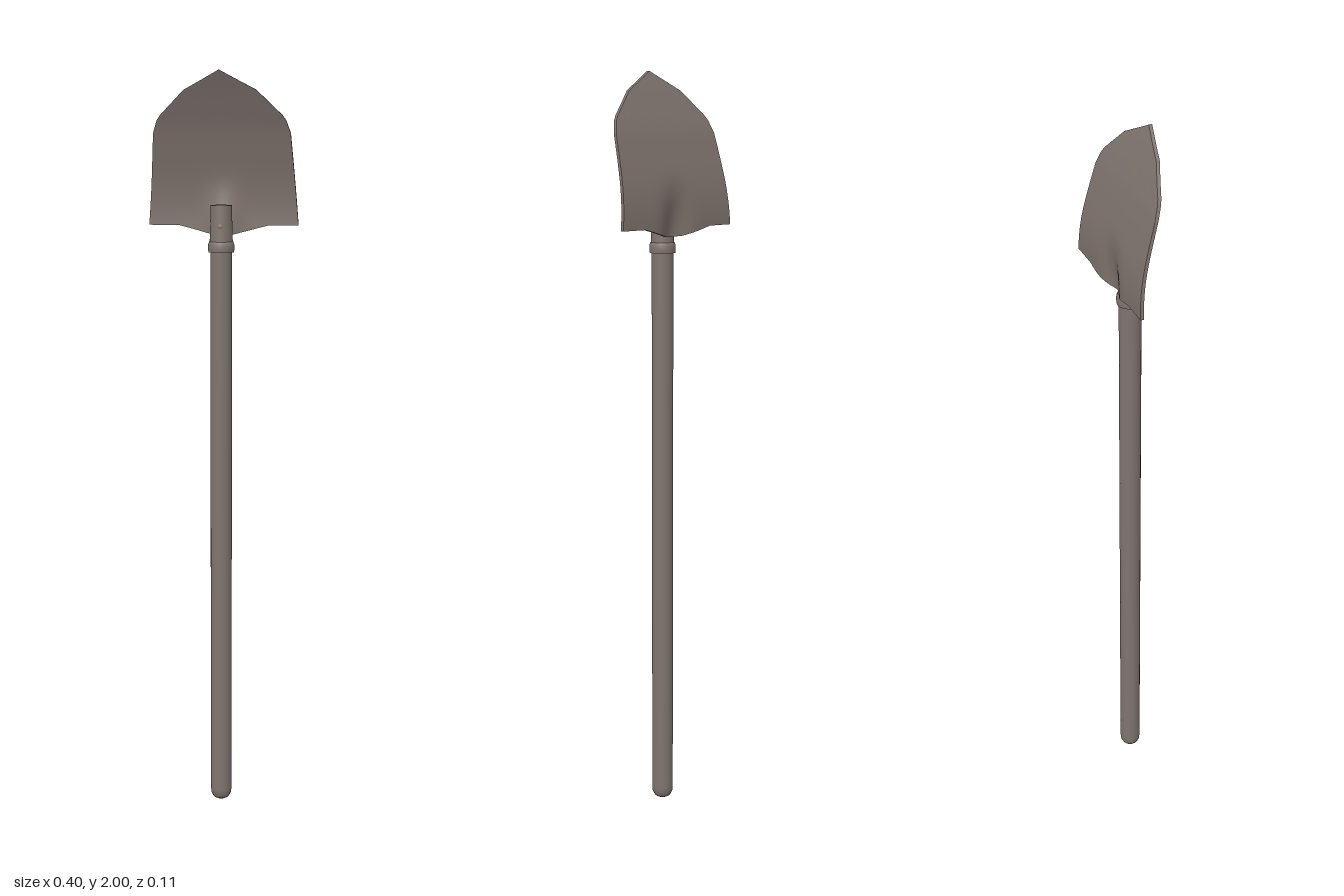
import * as THREE from 'three';

// Piecewise-linear lookup through [input, output] pairs
function lookup(points, v) {
  for (let i = 1; i < points.length; i++) {
    const [a, fa] = points[i - 1], [b, fb] = points[i];
    if (v <= b) return THREE.MathUtils.lerp(fa, fb, (v - a) / (b - a));
  }
  return points[points.length - 1][1];
}

// Shovel blade: a box bent into a pointed, dished plate
function bladeGeometry() {
  const topEdge = [[0, 2], [0.55, 1.95], [0.94, 1.88], [1, 1.84]];
  const bottomEdge = [[0, 1.575], [0.15, 1.577], [0.6, 1.6], [1, 1.6]];
  const bend = new THREE.SplineCurve([
    [1.57, -0.053], [1.64, -0.053], [1.72, -0.042], [1.84, -0.011],
    [1.88, 0.003], [1.95, 0.03], [2, 0.052],
  ].map(([y, z]) => new THREE.Vector2(y, z))).getPoints(48).map(p => [p.x, p.y]);

  const geo = new THREE.BoxGeometry(2, 1, 1, 40, 16, 1);
  const pos = geo.attributes.position;
  for (let i = 0; i < pos.count; i++) {
    const u = pos.getX(i), t = pos.getY(i) + 0.5, side = pos.getZ(i);
    const a = Math.abs(u);
    const y = THREE.MathUtils.lerp(lookup(bottomEdge, a), lookup(topEdge, a), t);
    const x = u * THREE.MathUtils.mapLinear(y, 1.6, 1.84, 0.2, 0.181);
    const clampedX = Math.abs(x) > 0.2 ? Math.sign(x) * 0.2 : x;
    // Ridge where the plate swells forward to meet the socket
    const fade = 1 - THREE.MathUtils.smoothstep(y, 1.59, 1.74);
    const ridge = 0.024 * Math.exp(-((x / 0.045) ** 2)) * fade;
    pos.setXYZ(i, clampedX, y, lookup(bend, y) + ridge + side * 0.009);
  }
  geo.computeVertexNormals();
  return geo;
}

export function createModel() {
  const model = new THREE.Group();
  const metal = new THREE.MeshStandardMaterial({ color: 0x80756f });
  metal.name = 'grey brown';

  const add = (name, geometry) => {
    const mesh = new THREE.Mesh(geometry, metal);
    mesh.name = name;
    model.add(mesh);
    return mesh;
  };
  const lathe = (points) =>
    new THREE.LatheGeometry(points.map(([r, y]) => new THREE.Vector2(r, y)), 20);

  // Long handle with a rounded butt
  add('handle', lathe([
    [0, 0], [0.012, 0.002], [0.022, 0.008], [0.028, 0.02],
    [0.029, 0.035], [0.029, 1.54],
  ]));

  // Collar ring below the blade, with separate edges for crisp corners
  add('collar', lathe([
    [0.028, 1.532], [0.034, 1.532], [0.034, 1.532], [0.035, 1.54],
    [0.035, 1.552], [0.032, 1.56], [0.028, 1.56],
  ]));

  // Socket holding the blade
  const socket = add('socket', new THREE.CylinderGeometry(0.028, 0.031, 0.105, 20));
  socket.position.y = 1.6025;

  // Rivet on the front of the socket
  const rivet = add('rivet', new THREE.SphereGeometry(0.008, 10, 8));
  rivet.position.set(0, 1.6, 0.026);
  rivet.scale.z = 0.6;

  add('blade', bladeGeometry());
  return model;
}
